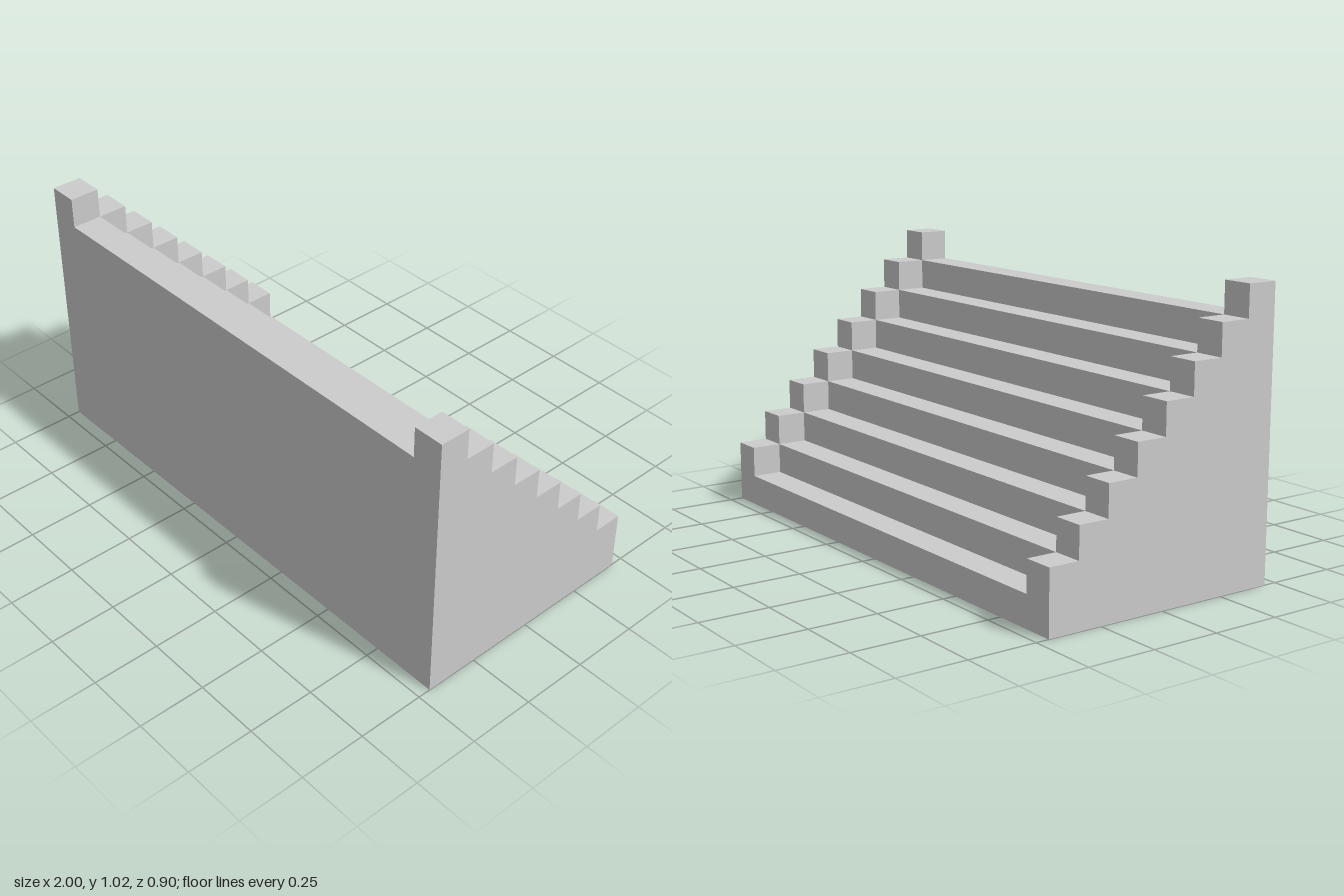
import * as THREE from 'three';

const STEPS = 8;
const RISE = 0.1133;
const DEPTH = 0.905;
const TREAD = DEPTH / STEPS;
const WALL = 0.113;

// Stepped side profile climbing towards +z, extruded across x
function steppedBlock(name, firstHeight, width, centreX, material) {
  const shape = new THREE.Shape();
  shape.moveTo(-DEPTH / 2, 0);
  for (let i = 0; i < STEPS; i++) {
    const y = firstHeight + i * RISE;
    shape.lineTo(-DEPTH / 2 + i * TREAD, y);
    shape.lineTo(-DEPTH / 2 + (i + 1) * TREAD, y);
  }
  shape.lineTo(DEPTH / 2, 0);
  shape.closePath();
  const geometry = new THREE.ExtrudeGeometry(shape, { depth: width, bevelEnabled: false });
  geometry.translate(0, 0, -width / 2);
  geometry.rotateY(-Math.PI / 2);
  const mesh = new THREE.Mesh(geometry, material);
  mesh.name = name;
  mesh.position.x = centreX;
  return mesh;
}

export function createModel() {
  const group = new THREE.Group();
  group.name = 'staircase';
  const material = new THREE.MeshStandardMaterial({ color: 0xcccccc, flatShading: true });

  // Wide flight of steps between the walls
  group.add(steppedBlock('steps', RISE, 2 - 2 * WALL, 0, material));

  // Side walls, one step higher than the flight
  for (const side of [1, -1]) {
    const name = side > 0 ? 'leftSideWall' : 'rightSideWall';
    group.add(steppedBlock(name, 2 * RISE, WALL, side * (1 - WALL / 2), material));
  }
  return group;
}
